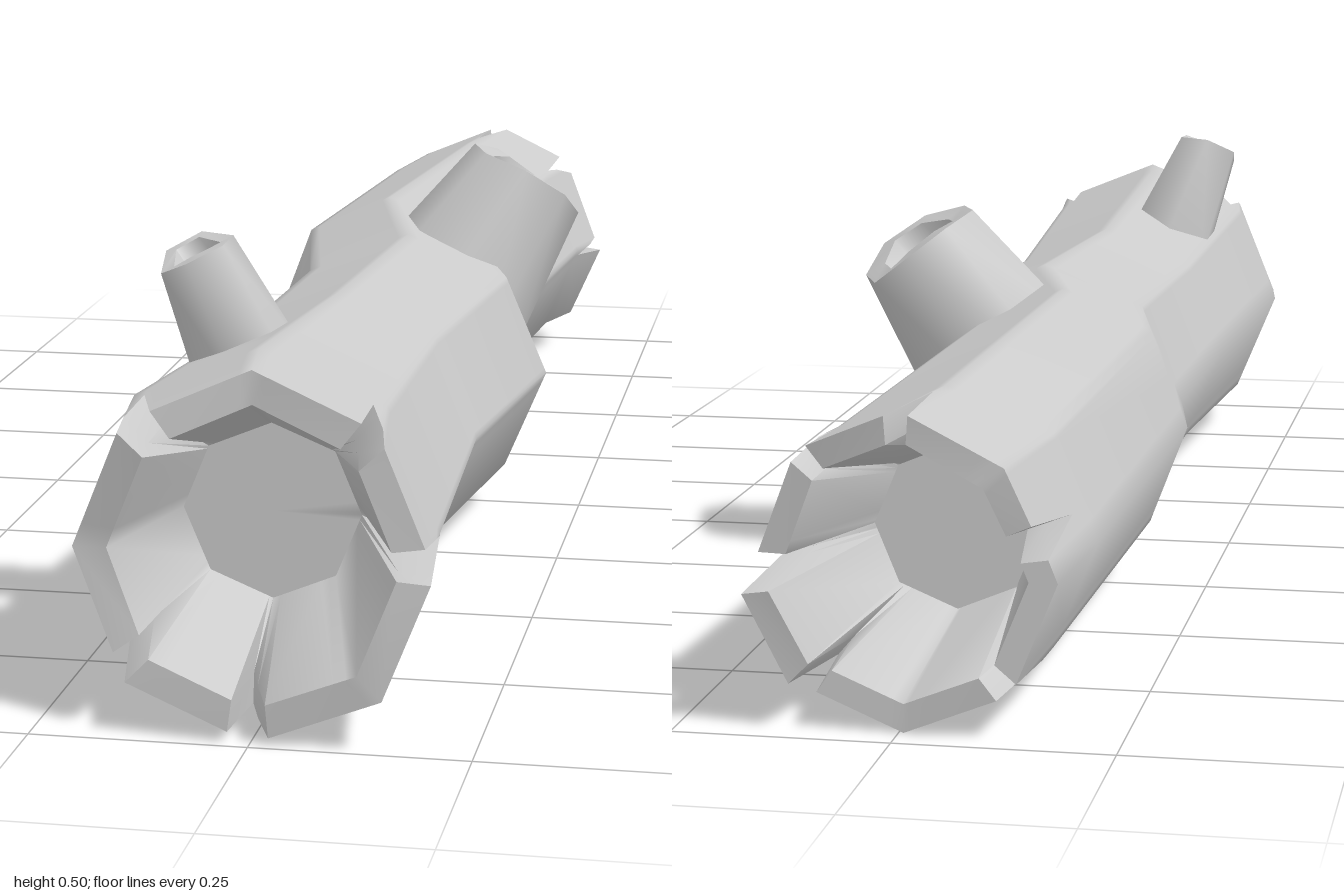
import * as THREE from 'three';
import { toCreasedNormals } from 'three/addons/utils/BufferGeometryUtils.js';

const material = new THREE.MeshStandardMaterial({ color: 0xcccccc });

// Trunk sections along z: [z, xMin, xMax, yMin, yMax]
const sections = [
  [-1.0, -0.18, 0.18, 0.0, 0.37],
  [-0.82, -0.2, 0.15, 0.02, 0.37],
  [-0.22, -0.22, 0.11, 0.03, 0.39],
  [0.02, -0.18, 0.205, 0.01, 0.385],
  [0.4, -0.19, 0.165, 0.025, 0.385],
  [0.85, -0.22, 0.19, 0.01, 0.42],
  [1.0, -0.2, 0.21, 0.005, 0.42],
];

// Broken rims: [position round the octagon (0 = top, 2 = left side), z]; deep points are splits
const frontRim = [
  [0, 0.95], [0.84, 0.965], [0.9, 0.87], [1.06, 0.995], [1.8, 1], [2, 0.86], [2.1, 0.99],
  [3, 1], [3.88, 0.99], [4.06, 0.88], [4.2, 0.99], [5, 0.985], [5.1, 0.88], [5.22, 0.98],
  [6, 0.96], [6.95, 0.985], [7.1, 0.87], [7.22, 0.965], [8, 0.95],
];
const backRim = [
  [0, -0.86], [0.1, -0.98], [0.85, -0.96], [0.95, -0.85], [1.12, -0.94], [1.95, -0.93],
  [2.08, -0.84], [2.18, -0.99], [3, -0.97], [3.1, -0.86], [3.22, -0.96], [4, -0.96],
  [4.85, -0.97], [5, -0.86], [5.12, -0.98], [6.2, -0.98], [6.35, -0.86], [6.5, -0.99],
  [7, -1], [7.9, -0.975], [8, -0.86],
];

// Linear interpolation in a table keyed by its first column
function lookup(table, key) {
  let i = 0;
  while (i < table.length - 2 && table[i + 1][0] < key) i++;
  const a = table[i], b = table[i + 1];
  const f = THREE.MathUtils.clamp((key - a[0]) / (b[0] - a[0]), 0, 1);
  return a.map((v, k) => v + (b[k] - v) * f);
}

// Point on the octagonal trunk, shrunk towards its axis by scale
function trunkPoint(t, z, scale) {
  const [, x0, x1, y0, y1] = lookup(sections, z);
  const corner = (i) => [Math.sin((i * Math.PI) / 4), Math.cos((i * Math.PI) / 4)];
  const i = Math.floor(t), f = t - i;
  const a = corner(i), b = corner(i + 1);
  const u = a[0] + (b[0] - a[0]) * f, v = a[1] + (b[1] - a[1]) * f;
  return new THREE.Vector3(
    (x0 + x1) / 2 + (u * scale * (x1 - x0)) / 2,
    (y0 + y1) / 2 + (v * scale * (y1 - y0)) / 2,
    z
  );
}

function trunkGeometry() {
  const stations = [...frontRim, ...backRim].map((p) => p[0]);
  for (let i = 0; i <= 8; i++) stations.push(i);
  const ts = [...new Set(stations)].sort((a, b) => a - b);
  const row = (zOf, scale) => ts.map((t) => trunkPoint(t, zOf(t), scale));
  const front = (t) => lookup(frontRim, t)[1];
  const back = (t) => lookup(backRim, t)[1];

  // From the back hollow, over the rim, along the bark and into the front hollow
  const rows = [
    row(() => -0.77, 0),
    row(() => -0.77, 0.56),
    row(back, 0.82),
    row(back, 1),
    ...sections.slice(1, -2).map(([z]) => row(() => z, 1)),
    row(() => 0.85, 1),
    row(front, 1),
    row(front, 0.81),
    row(() => 0.79, 0.52),
    row(() => 0.79, 0),
  ];

  const points = [];
  const tri = (a, b, c) => {
    if (new THREE.Triangle(a, b, c).getArea() > 1e-8) points.push(a, b, c);
  };
  for (let i = 0; i < rows.length - 1; i++) {
    for (let j = 0; j < ts.length - 1; j++) {
      const a = rows[i][j], b = rows[i][j + 1], c = rows[i + 1][j], d = rows[i + 1][j + 1];
      tri(a, c, b);
      tri(b, c, d);
    }
  }
  return toCreasedNormals(new THREE.BufferGeometry().setFromPoints(points), 0.9);
}

// Hollow broken branch, tapering from a point inside the trunk to its tip
function branchStub(name, from, to, baseRadius, tipRadius, sides, chip) {
  const start = new THREE.Vector3(...from), axis = new THREE.Vector3(...to).sub(start);
  const h = axis.length();
  const profile = [
    [baseRadius, 0], [tipRadius, h], [tipRadius * 0.64, h], [tipRadius * 0.45, h - tipRadius * 0.7],
    [0, h - tipRadius * 0.7],
  ].map(([r, y]) => new THREE.Vector2(r, y));
  const geometry = new THREE.LatheGeometry(profile, sides);

  // Uneven tip
  const p = geometry.attributes.position;
  for (let i = 0; i < p.count; i++) {
    if (p.getY(i) > h - 1e-4) {
      const angle = Math.atan2(p.getX(i), p.getZ(i));
      p.setY(i, h + chip * Math.sin(2 * angle + 0.6));
    }
  }
  geometry.deleteAttribute('normal');
  geometry.deleteAttribute('uv');
  const mesh = new THREE.Mesh(toCreasedNormals(geometry, sides < 8 ? 1.1 : 0.9), material);
  mesh.name = name;
  mesh.position.copy(start);
  mesh.quaternion.setFromUnitVectors(new THREE.Vector3(0, 1, 0), axis.normalize());
  return mesh;
}

export function createModel() {
  const group = new THREE.Group();
  group.name = 'hollowLog';
  const trunk = new THREE.Mesh(trunkGeometry(), material);
  trunk.name = 'trunk';
  group.add(
    trunk,
    branchStub('largeBranchStub', [0.04, 0.26, -0.11], [0.155, 0.44, -0.155], 0.122, 0.088, 8, 0.008),
    branchStub('smallBranchStub', [-0.075, 0.33, 0.615], [-0.135, 0.487, 0.65], 0.07, 0.049, 6, 0.006)
  );
  return group;
}
